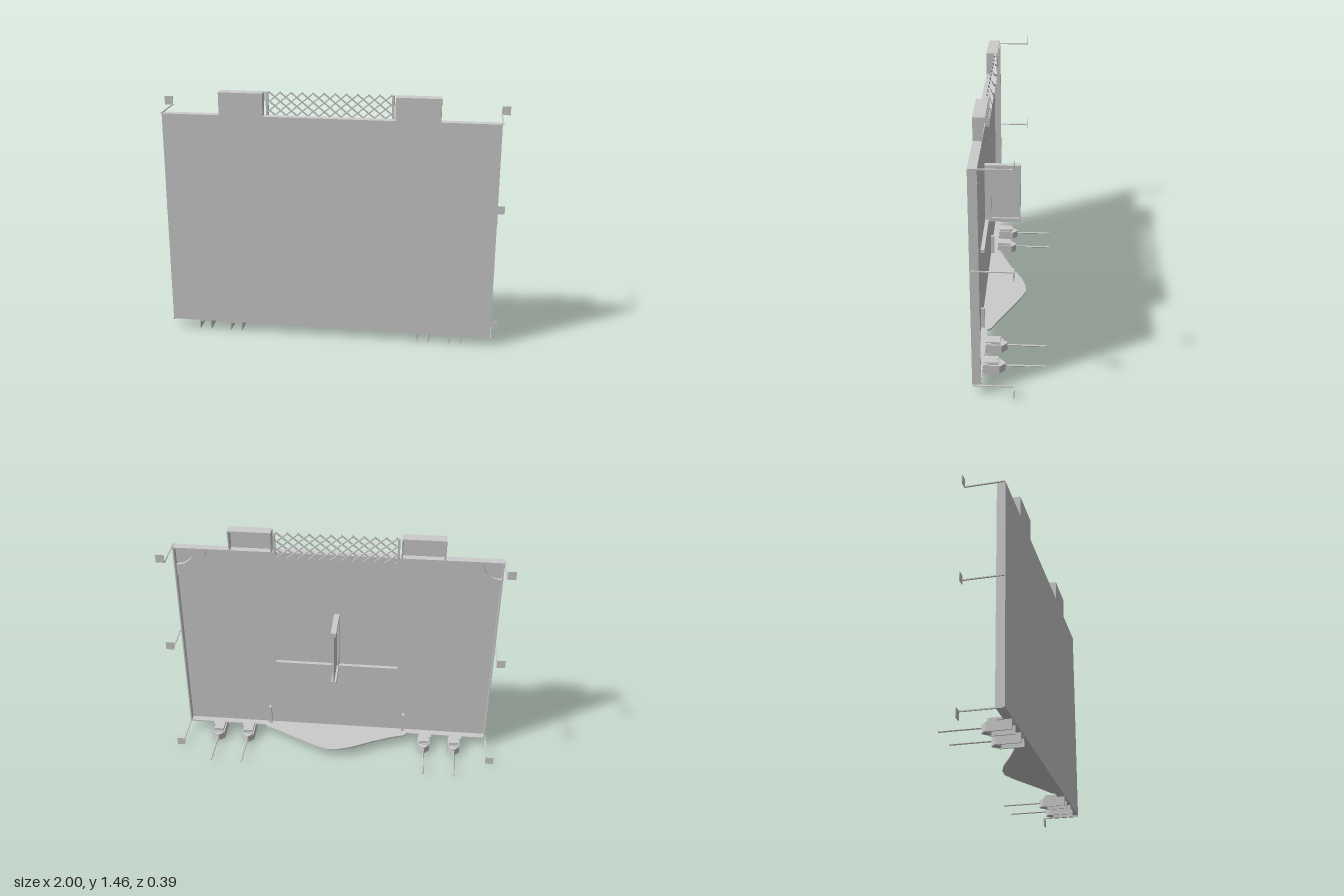
import * as THREE from 'three';

const material = new THREE.MeshStandardMaterial({ color: 0xcccccc, flatShading: true, side: THREE.DoubleSide });

function add(parent, name, geometry) {
  const mesh = new THREE.Mesh(geometry, material);
  mesh.name = name;
  parent.add(mesh);
  return mesh;
}

// Box given by its extents along each axis
function box(parent, name, x0, x1, y0, y1, z0, z1) {
  const mesh = add(parent, name, new THREE.BoxGeometry(Math.abs(x1 - x0), y1 - y0, z1 - z0));
  mesh.position.set((x0 + x1) / 2, (y0 + y1) / 2, (z0 + z1) / 2);
  return mesh;
}

// Horizontal slab with an outline in x and z
function slab(parent, name, points, y0, y1) {
  const shape = new THREE.Shape(points.map(([x, z]) => new THREE.Vector2(x, -z)));
  const geometry = new THREE.ExtrudeGeometry(shape, { depth: y1 - y0, bevelEnabled: false });
  geometry.rotateX(-Math.PI / 2).translate(0, y0, 0);
  return add(parent, name, geometry);
}

function group(parent, name) {
  const g = new THREE.Group();
  g.name = name;
  parent.add(g);
  return g;
}

// Thin front sheet with a folded rim, open at the back
function buildPanel(root) {
  const g = group(root, 'panel');
  box(g, 'frontSheet', -0.95, 0.95, 0.055, 1.33, 0.187, 0.195);
  box(g, 'topRim', -0.95, 0.95, 1.322, 1.33, 0.147, 0.187);
  box(g, 'bottomRim', -0.95, 0.95, 0.055, 0.063, 0.147, 0.187);
  for (const s of [-1, 1]) {
    box(g, 'sideRim', s * 0.942, s * 0.95, 0.063, 1.322, 0.147, 0.187);
    // Quarter ring stiffener in the upper corner
    const ring = new THREE.Shape();
    const a0 = s > 0 ? Math.PI : 1.5 * Math.PI;
    ring.absarc(0, 0, 0.185, a0, a0 + Math.PI / 2, false);
    ring.absarc(0, 0, 0.115, a0 + Math.PI / 2, a0, true);
    const arc = add(g, 'cornerStiffener',
      new THREE.ExtrudeGeometry(ring, { depth: 0.02, bevelEnabled: false, curveSegments: 10 }));
    arc.position.set(s * 0.943, 1.323, 0.168);
    box(g, 'lowerPost', s * 0.418, s * 0.434, 0.063, 0.19, 0.165, 0.187);
    // Small fasteners
    for (const [x, y] of [[0.82, 1.04], [0.5, 1.035], [0.82, 0.845], [0.5, 0.845], [0.19, 1.1], [0.375, 0.975]]) {
      const dot = add(g, 'fastener', new THREE.CylinderGeometry(0.004, 0.004, 0.011, 8));
      dot.rotation.x = Math.PI / 2;
      dot.position.set(s * x, y, 0.1905);
    }
  }
}

// Open-backed boxes above the panel, deeper at the top
function buildTopBoxes(root) {
  for (const s of [-1, 1]) {
    const g = group(root, 'topBox');
    box(g, 'boxFront', s * 0.37, s * 0.62, 1.33, 1.46, 0.187, 0.195);
    box(g, 'boxTop', s * 0.37, s * 0.62, 1.452, 1.46, 0.13, 0.187);
    for (const x of [0.37, 0.612]) {
      const side = new THREE.Shape([[0.19, 1.33], [0.147, 1.33], [0.13, 1.458], [0.19, 1.458]]
        .map(([z, y]) => new THREE.Vector2(-z, y)));
      const cheek = add(g, 'boxCheek', new THREE.ExtrudeGeometry(side, { depth: 0.008, bevelEnabled: false }));
      cheek.rotation.y = Math.PI / 2;
      cheek.position.x = s > 0 ? x : -x - 0.008;
    }
  }
}

// Diamond lattice between two posts
function buildGrille(root) {
  const g = group(root, 'grille');
  const W = 0.355, y0 = 1.3, y1 = 1.46, px = 0.062, slope = 0.83;
  const run = (y1 - y0) / slope;
  for (const s of [-1, 1]) {
    box(g, 'grillePost', s * 0.347, s * 0.36, y0, y1, 0.127, 0.147);
    for (let i = -9; i <= 9; i++) {
      // Clip each slanted bar to the opening
      const xa = i * px - run / 2;
      const a = Math.max(xa, -W), b = Math.min(xa + run, W);
      if (b - a < 0.01) continue;
      const bar = add(g, 'latticeBar', new THREE.BoxGeometry((b - a) * Math.hypot(1, slope), 0.007, 0.008));
      const mid = (a + b) / 2;
      bar.position.set(s * mid, y0 + (mid - xa) * slope, 0.14 + s * 0.004);
      bar.rotation.z = s * Math.atan(slope);
    }
  }
}

// Upright fin framed on three edges, with a cross bar below
function buildRearFin(root) {
  const g = group(root, 'rearFin');
  box(g, 'finWeb', -0.004, 0.004, 0.54, 0.91, -0.025, 0.187);
  box(g, 'finTopFlange', -0.016, 0.016, 0.885, 0.91, -0.025, 0.187);
  box(g, 'finBottomFlange', -0.016, 0.016, 0.538, 0.562, -0.025, 0.187);
  box(g, 'finRootFlange', -0.016, 0.016, 0.562, 0.885, 0.147, 0.187);
  box(g, 'crossBar', -0.375, 0.375, 0.53, 0.55, 0.165, 0.187);
}

// Thin side arms, each ending in a square tab
function buildSideArms(root) {
  for (const s of [-1, 1]) {
    for (const [armY, tabY] of [[1.332, 1.33], [0.764, 0.74], [0.049, 0.003]]) {
      const g = group(root, 'sideArm');
      box(g, 'arm', s * 0.949, s * 0.957, armY - 0.003, armY + 0.003, -0.03, 0.19);
      box(g, 'tab', s * 0.951, s * 1.0, tabY, tabY + 0.049, -0.032, -0.028);
    }
  }
}

// Channel feet with a pointed block and a rod to the rear
function buildFeet(root) {
  for (const x of [-0.754, -0.564, 0.559, 0.748]) {
    const s = Math.sign(x);
    const g = group(root, 'foot');
    g.position.x = x;
    for (const k of [-1, 1]) box(g, 'footCheek', k * 0.03, k * 0.037, 0, 0.05, 0.03 + 0.03, 0.19);
    box(g, 'footTop', -0.037, 0.037, 0.046, 0.055, 0.06, 0.19);
    box(g, 'footPlate', -0.03, 0.03, 0.05, 0.072, 0.066, 0.15);
    box(g, 'footLug', s * 0.03, s * 0.046, 0.052, 0.066, 0.118, 0.147);
    slab(g, 'pointedBlock', [[-0.036, 0.07], [0.036, 0.07], [0.036, 0.058], [0.006, 0.028], [-0.006, 0.028], [-0.036, 0.058]], 0.004, 0.05);
    const rod = add(g, 'rod', new THREE.CylinderGeometry(0.005, 0.005, 0.235, 8));
    rod.rotation.x = Math.PI / 2;
    rod.position.set(0, 0.034, -0.0775);
  }
}

export function createModel() {
  const root = new THREE.Group();
  root.name = 'wallPanel';
  buildPanel(root);
  buildTopBoxes(root);
  buildGrille(root);
  buildRearFin(root);
  buildSideArms(root);
  buildFeet(root);
  // Wavy shelf along the bottom edge
  slab(root, 'lowerShelf', [[-0.46, 0.15], [-0.44, 0.122], [-0.36, 0.095], [-0.25, 0.045], [-0.11, -0.028],
    [-0.03, -0.055], [0.04, -0.06], [0.12, -0.03], [0.2, 0.01], [0.3, 0.06], [0.38, 0.1], [0.44, 0.125], [0.46, 0.15]], 0.055, 0.065);
  return root;
}
